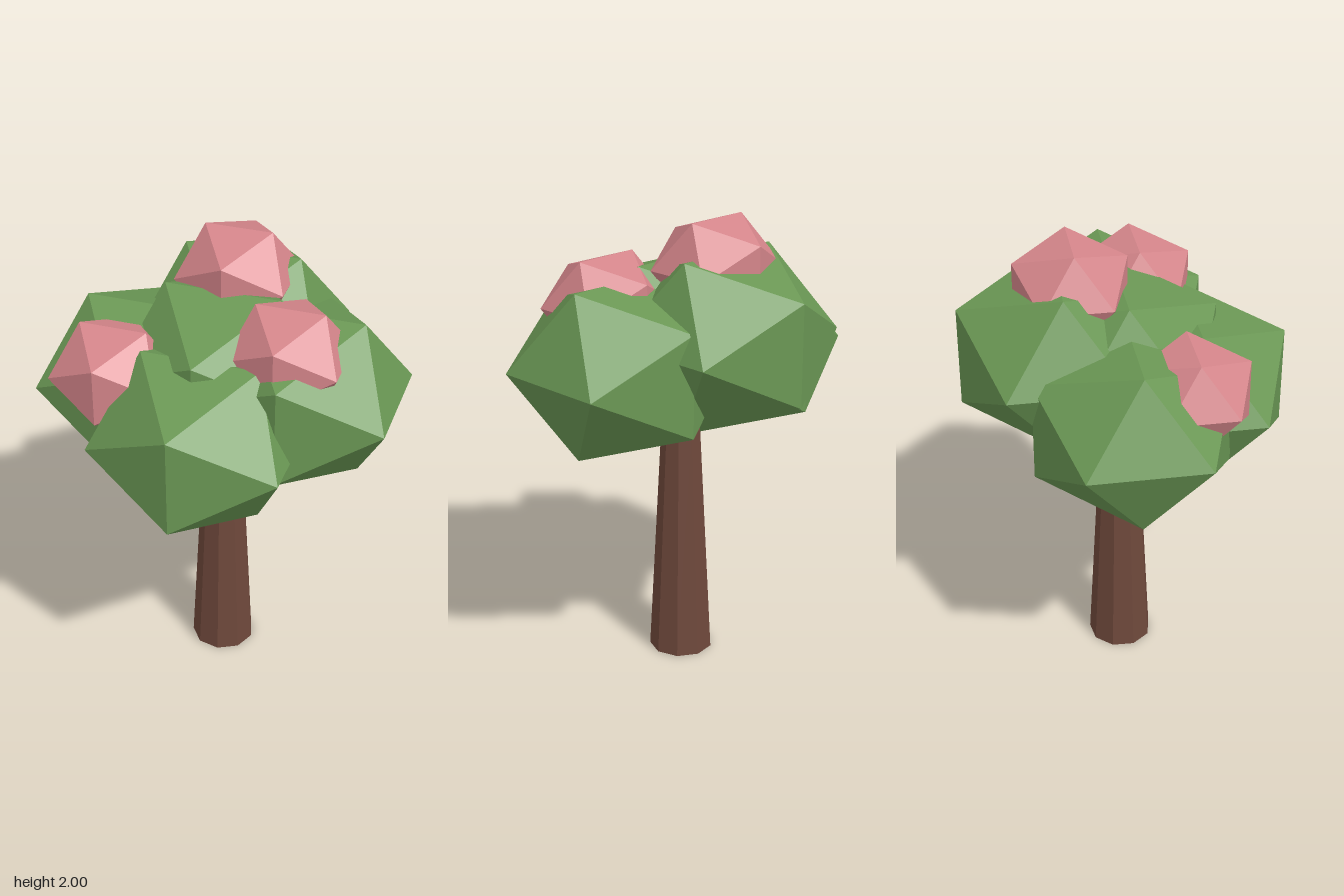
import * as THREE from 'three';

const leafGreen = new THREE.MeshStandardMaterial({ color: 0x6a9754 });
const blossomPink = new THREE.MeshStandardMaterial({ color: 0xd4858a });
const barkBrown = new THREE.MeshStandardMaterial({ color: 0x6e483b });
for (const m of [leafGreen, blossomPink, barkBrown]) m.flatShading = true;

// Faceted clump, slightly squashed in height
function clump(name, radius, material, [x, y, z]) {
  const mesh = new THREE.Mesh(new THREE.IcosahedronGeometry(radius, 0), material);
  mesh.name = name;
  mesh.scale.y = 0.863;
  mesh.position.set(x, y, z);
  return mesh;
}

export function createModel() {
  const tree = new THREE.Group();
  tree.name = 'blossomTree';

  // Tapered nine-sided trunk
  const height = 1.045;
  const trunk = new THREE.Mesh(new THREE.CylinderGeometry(0.086, 0.14, height, 9), barkBrown);
  trunk.name = 'trunk';
  trunk.position.set(0, height / 2, -0.02);
  trunk.rotation.y = 0.13;
  tree.add(trunk);

  // Leafy crown
  const leaves = {
    leavesCentre: [0, 1.46, -0.02],
    leavesLeft: [0.345, 1.415, -0.02],
    leavesRight: [-0.345, 1.348, -0.02],
    leavesFront: [0, 1.305, 0.28],
    leavesBack: [0, 1.52, -0.28],
  };
  for (const [name, at] of Object.entries(leaves)) tree.add(clump(name, 0.476, leafGreen, at));

  // Blossoms set into the crown
  const blossoms = {
    blossomTop: [0, 1.798, -0.22],
    blossomLeft: [0.315, 1.643, 0.095],
    blossomRight: [-0.395, 1.495, 0.21],
  };
  for (const [name, at] of Object.entries(blossoms)) tree.add(clump(name, 0.275, blossomPink, at));

  return tree;
}
